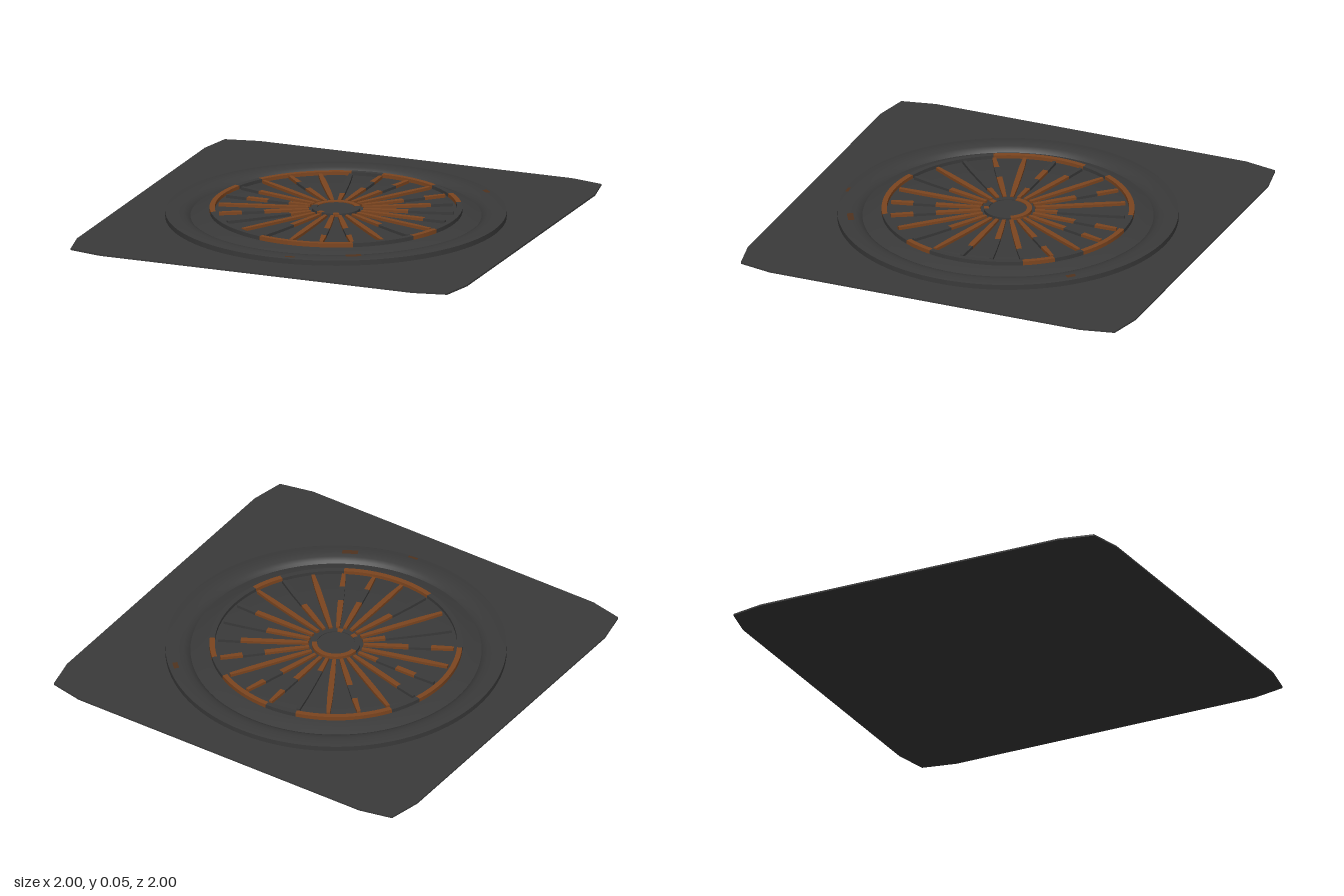
import * as THREE from 'three';
import { toCreasedNormals } from 'three/addons/utils/BufferGeometryUtils.js';

const iron = new THREE.MeshStandardMaterial({ color: 0x3a3a3a });
iron.name = 'dark iron';
const rust = new THREE.MeshStandardMaterial({ color: 0x7c451f });
rust.name = 'rust';
const stain = new THREE.MeshStandardMaterial({ color: 0x50331f });
stain.name = 'rust stain';

// Rust per spoke, from hub to tip (1 = rust), one entry every 15 degrees from +x
const SPOKES = ['1110', '1100', '1110', '1101', '1111', '1101', '1101', '1000',
  '1111', '1101', '1111', '1110', '1010', '1111', '1101', '1000',
  '1111', '1100', '1111', '1101', '1101', '1111', '1100', '1111'];
const RING = '001011011101110001110010';
const HUB = '001111111111000010010000';
const STEP = Math.PI / 12;

export function createModel() {
  const model = new THREE.Group();
  const add = (name, geometry, material, parent = model) => {
    const mesh = new THREE.Mesh(geometry, material);
    mesh.name = name;
    parent.add(mesh);
    return mesh;
  };
  const lathe = (points, segments = 96, start = 0, length = Math.PI * 2) =>
    toCreasedNormals(new THREE.LatheGeometry(
      points.map(([r, y]) => new THREE.Vector2(r, y)), segments, start, length), 0.7);

  // Square plate with clipped, two-facet corners
  const corner = [[1, 0.8], [0.965, 0.965], [0.8, 1]];
  const outline = [];
  for (let i = 0; i < 4; i++) {
    for (const [x, y] of corner) {
      outline.push(new THREE.Vector2(x, y).rotateAround(new THREE.Vector2(), i * Math.PI / 2));
    }
  }
  const plate = new THREE.ExtrudeGeometry(new THREE.Shape(outline), { depth: 0.008, bevelEnabled: false });
  plate.rotateX(-Math.PI / 2);
  add('basePlate', plate, iron);

  // Rounded outer rim and the raised dome inside it
  add('outerRim', lathe([[0.81, 0.004], [0.81, 0.033], [0.785, 0.037], [0.75, 0.039],
    [0.72, 0.034], [0.7, 0.024], [0.69, 0.012]]), iron);
  add('dome', lathe([[0.7, 0.01], [0.66, 0.022], [0.62, 0.032], [0.58, 0.037],
    [0.4, 0.039], [0.2, 0.04], [0, 0.04]]), iron);

  // Ring of square section, built as arcs of iron or rust
  const ring = (name, inner, outer, top, pattern) => {
    const group = new THREE.Group();
    group.name = name;
    model.add(group);
    const profile = [[outer, 0.03], [outer, top], [inner, top], [inner, 0.03]];
    [...pattern].forEach((c, i) => {
      add(name + 'Arc', lathe(profile, 4, Math.PI / 2 + i * STEP, STEP), c === '1' ? rust : iron, group);
    });
  };
  ring('grateRing', 0.575, 0.6, 0.054, RING);
  ring('hubRing', 0.09, 0.115, 0.054, HUB);

  // Hub cap
  add('hubCap', new THREE.CylinderGeometry(0.092, 0.092, 0.02, 48).translate(0, 0.04, 0), iron);

  // Radial spokes in four lengths, narrowed at both ends
  const r0 = 0.13, r1 = 0.56, len = (r1 - r0) / 4;
  const widths = [0.017, 0.025, 0.027, 0.026, 0.017];
  SPOKES.forEach((pattern, i) => {
    const spoke = new THREE.Group();
    spoke.name = 'spoke';
    spoke.rotation.y = i * STEP;
    model.add(spoke);
    [...pattern].forEach((c, k) => {
      const bar = new THREE.BoxGeometry(len, 0.018, 1);
      const p = bar.attributes.position;
      for (let v = 0; v < p.count; v++) {
        p.setZ(v, p.getZ(v) * widths[p.getX(v) > 0 ? k + 1 : k]);
      }
      bar.computeVertexNormals();
      bar.translate(r0 + len * (k + 0.5), 0.043, 0);
      add('spokeBar', bar, c === '1' ? rust : iron, spoke);
    });
  });

  // Small rust stains lying on the rim: [angle, half angle, outer radius, inner radius]
  for (const [a, half, ro, ri] of [[0.5, 0.05, 0.765, 0.735], [2.37, 0.03, 0.79, 0.765], [0.11, 0.03, 0.8, 0.785]]) {
    const y = ro > 0.77 ? 0.038 : 0.0395;
    add('rimStain', lathe([[ro, y], [ri, y + 0.001]], 6, a - half, half * 2), stain);
  }
  return model;
}
